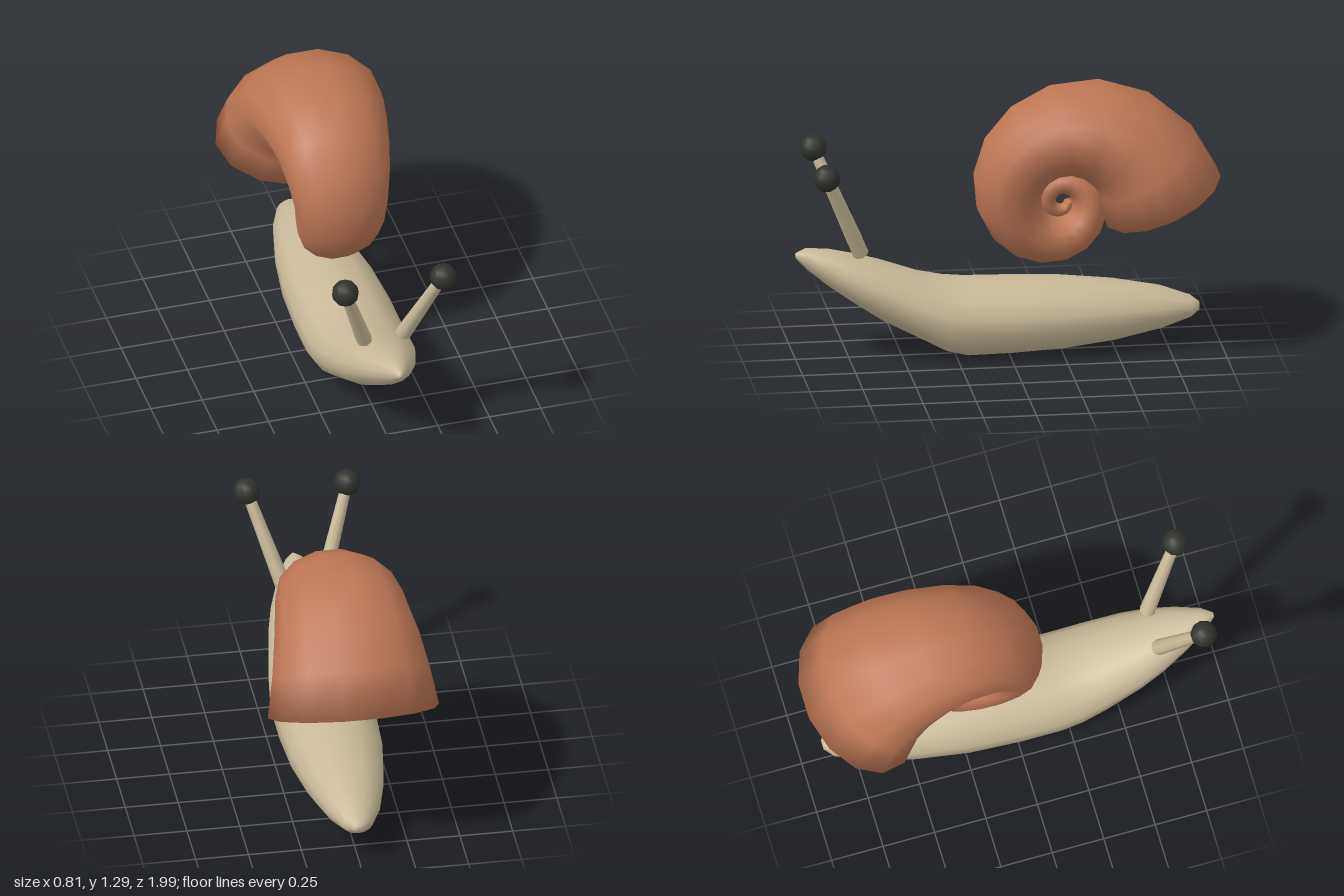
import * as THREE from 'three';

const SIDES = 14;

// Smooth closed skin through a list of rings, ordered counterclockwise about the travel direction.
function loft(rings) {
  const pos = [], index = [], n = rings[0].length, last = rings.length - 1;
  rings.forEach(r => r.forEach(p => pos.push(p.x, p.y, p.z)));
  for (let i = 0; i < last; i++) {
    for (let j = 0; j < n; j++) {
      const k = (j + 1) % n;
      const a = i * n + j, b = i * n + k, c = b + n, d = a + n;
      index.push(a, b, c, a, c, d);
    }
  }
  // end caps
  [0, last].forEach(i => {
    const mid = rings[i].reduce((s, p) => s.add(p), new THREE.Vector3()).divideScalar(n);
    const m = pos.length / 3;
    pos.push(mid.x, mid.y, mid.z);
    for (let j = 0; j < n; j++) {
      const a = i * n + j, b = i * n + (j + 1) % n;
      if (i === 0) index.push(m, b, a);
      else index.push(m, a, b);
    }
  });
  const g = new THREE.BufferGeometry();
  g.setAttribute('position', new THREE.Float32BufferAttribute(pos, 3));
  g.setIndex(index);
  g.computeVertexNormals();
  return g;
}

// Slug body: [z, bottom, top, half width] from tail to head
function bodyGeometry() {
  const sections = [
    [-0.9, 0.165, 0.205, 0.025], [-0.86, 0.135, 0.235, 0.07], [-0.72, 0.09, 0.285, 0.13],
    [-0.5, 0.045, 0.325, 0.185], [-0.25, 0.015, 0.35, 0.222], [0, 0.003, 0.36, 0.235],
    [0.2, 0, 0.365, 0.235], [0.3, 0.025, 0.375, 0.23], [0.42, 0.09, 0.4, 0.217],
    [0.6, 0.185, 0.465, 0.187], [0.72, 0.265, 0.5, 0.155], [0.84, 0.35, 0.53, 0.108],
    [0.95, 0.44, 0.542, 0.052], [1, 0.495, 0.52, 0.012],
  ];
  return loft(sections.map(([z, lo, hi, w]) => Array.from({ length: SIDES }, (_, j) => {
    const a = -Math.PI / 2 + j * 2 * Math.PI / SIDES;
    return new THREE.Vector3(Math.cos(a) * w, (lo + hi) / 2 + Math.sin(a) * (hi - lo) / 2, z);
  })));
}

// Coiled shell: a growing elliptical tube on a logarithmic spiral, ending in the mouth
function shellGeometry() {
  const steps = 32, rings = [];
  for (let i = steps; i >= 0; i--) {
    const t = i * Math.PI / 8, s = Math.exp(-0.21 * t);
    const tilt = t + (i === 0 ? 0.41 : 0.2);
    rings.push(Array.from({ length: SIDES }, (_, j) => {
      const a = (j + 0.5) * 2 * Math.PI / SIDES;
      const r = 0.475 * s, e = Math.cos(a) * 0.297 * s;
      return new THREE.Vector3(
        Math.sin(a) * 0.405 * s,
        0.727 + r * Math.sin(t) + e * Math.sin(tilt),
        -0.25 - r * Math.cos(t) - e * Math.cos(tilt));
    }));
  }
  return loft(rings);
}

export function createModel() {
  const skin = new THREE.MeshStandardMaterial({ color: 0xc8b999 });
  skin.name = 'skin';
  const shellBrown = new THREE.MeshStandardMaterial({ color: 0xbd7653 });
  shellBrown.name = 'shellBrown';
  const eyeBlack = new THREE.MeshStandardMaterial({ color: 0x30332d });
  eyeBlack.name = 'eyeBlack';

  const model = new THREE.Group();
  model.name = 'snail';
  const add = (name, geometry, material) => {
    const mesh = new THREE.Mesh(geometry, material);
    mesh.name = name;
    model.add(mesh);
    return mesh;
  };

  add('body', bodyGeometry(), skin);
  add('shell', shellGeometry(), shellBrown);

  // Eye stalks and eyes, mirrored
  for (const [label, side] of [['left', 1], ['right', -1]]) {
    const base = new THREE.Vector3(side * 0.095, 0.535, 0.705);
    const tip = new THREE.Vector3(side * 0.238, 0.957, 0.885);
    const dir = tip.clone().sub(base);
    const stalk = add(label + 'EyeStalk', new THREE.CylinderGeometry(0.026, 0.038, dir.length(), 8), skin);
    stalk.position.copy(base).add(tip).multiplyScalar(0.5);
    stalk.quaternion.setFromUnitVectors(new THREE.Vector3(0, 1, 0), dir.normalize());
    add(label + 'Eye', new THREE.SphereGeometry(0.064, 10, 8), eyeBlack).position.copy(tip);
  }
  return model;
}
